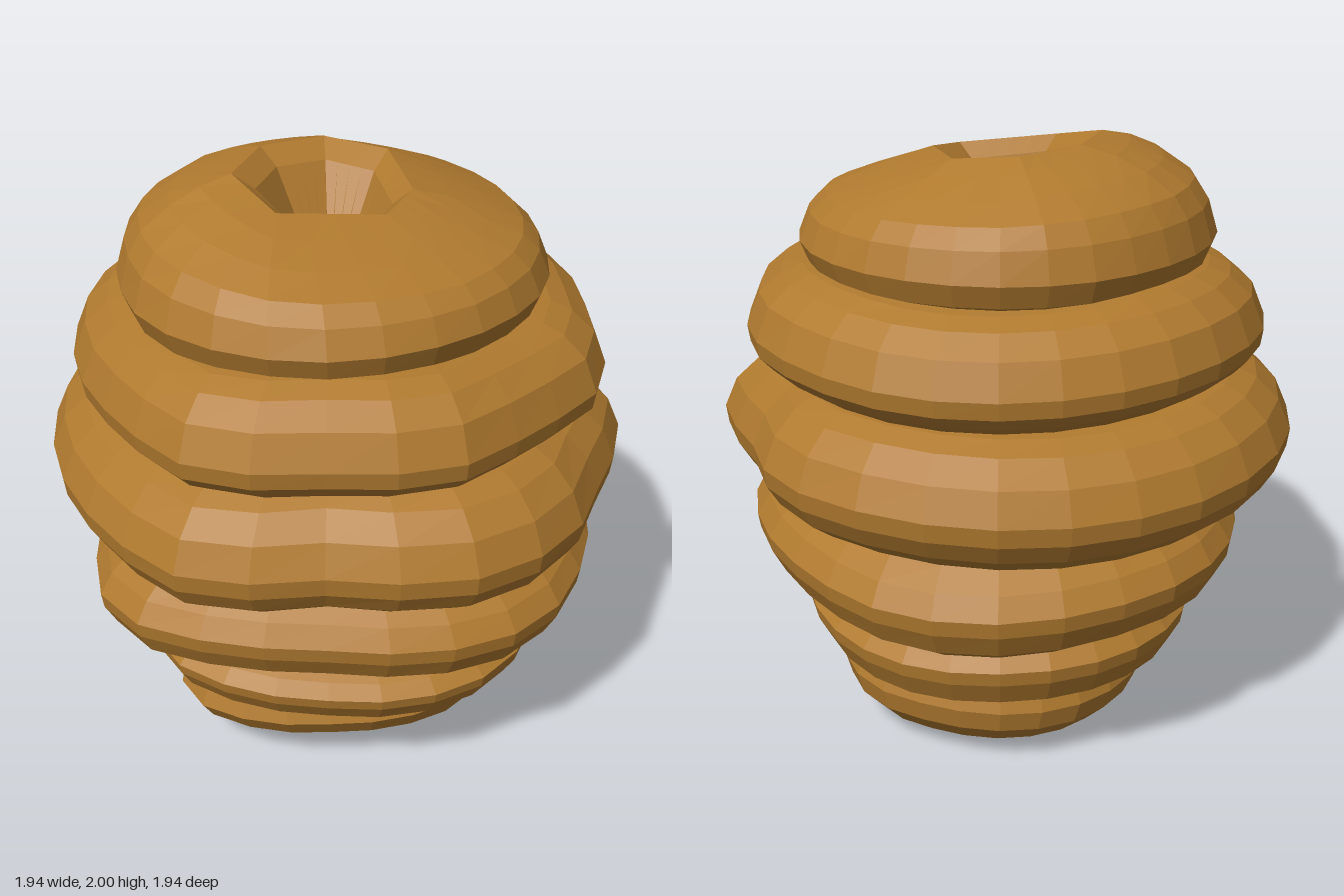
import * as THREE from 'three';

const SEGMENTS = 28;
const lerp = THREE.MathUtils.lerp;

// Lumpy outlines: radius every 22.5 degrees, from +x round through +z
const outlines = [
  [.59, .62, .66, .65, .64, .68, .70, .58, .53, .54, .58, .61, .62, .62, .64, .61],
  [.715, .76, .81, .80, .77, .79, .79, .68, .655, .68, .71, .73, .73, .73, .72, .71],
  [.88, .91, .95, .91, .86, .91, .97, .87, .805, .83, .87, .89, .91, .90, .86, .86],
  [.97, .94, 1.02, 1.03, .95, 1.03, .98, .965, .97, .975, .975, .965, .965, .965, .96, .89],
  [.86, .91, .88, .94, .92, .97, .89, .87, .87, .86, .85, .84, .84, .85, .85, .86],
  [.68, .70, .71, .73, .76, .77, .76, .72, .70, .67, .65, .65, .65, .65, .66, .67],
];

// Smooth periodic interpolation of an outline
function radiusAt(outline, angle) {
  const n = outline.length;
  const u = (angle / (Math.PI * 2)) * n;
  const i = Math.floor(u), t = u - i;
  const [a, b, c, d] = [-1, 0, 1, 2].map(k => outline[(i + k + n) % n]);
  return b + 0.5 * t * (c - a + t * (2 * a - 5 * b + 4 * c - d + t * (3 * (b - c) + d - a)));
}

// Skins a stack of closed loops; pointAt(row, angle, segment) gives [x, y, z]
function loft(rowCount, pointAt) {
  const positions = [], index = [];
  for (let r = 0; r < rowCount; r++) {
    for (let s = 0; s < SEGMENTS; s++) {
      positions.push(...pointAt(r, (s / SEGMENTS) * Math.PI * 2, s));
      if (r === rowCount - 1) continue;
      const a = r * SEGMENTS + s, b = r * SEGMENTS + (s + 1) % SEGMENTS;
      index.push(a, a + SEGMENTS, b, b, a + SEGMENTS, b + SEGMENTS);
    }
  }
  const geometry = new THREE.BufferGeometry();
  geometry.setAttribute('position', new THREE.Float32BufferAttribute(positions, 3));
  geometry.setIndex(index);
  geometry.computeVertexNormals();
  return geometry;
}

// Rounded base, bulging lowest towards the back
function baseGeometry() {
  const rows = [[0, 0], [.3, .008], [.6, .035], [.82, .085], [.95, .155], [1, .23], [.97, .285], [.88, .31], [.6, .33]];
  return loft(rows.length, (r, angle) => {
    const [scale, y] = rows[r];
    const radius = radiusAt(outlines[0], angle) * scale;
    const shift = 1 - Math.min(1, y / .2);
    const x = Math.cos(angle) * radius + .025 * shift;
    const z = Math.sin(angle) * radius - .06 * shift;
    return [x, Math.max(0, y + .02 * z + .015 * x), z];
  });
}

// Bulging coil: rows are [inset from the outline, fraction of height]
function coilGeometry(outline, low, high, peak, backDrop, phase) {
  const rows = [[.27, -.07], [.13, 0], [.05, .16], [.008, peak - .16], [0, peak], [.045, .76], [.12, .94], [.19, 1.02], [.3, 1.06]];
  return loft(rows.length, (r, angle) => {
    const [inset, t] = rows[r];
    const radius = radiusAt(outline, angle) - inset;
    const z = Math.sin(angle) * radius;
    const wave = .01 * Math.sin(3 * angle + phase);
    return [Math.cos(angle) * radius, lerp(low, high, t) + wave + backDrop * z * (1 - t), z];
  });
}

// Seven-cornered mouth of the hole
const mouth = [
  [.24, 1.95, .1], [.16, 1.93, .26], [-.17, 1.95, .31], [-.32, 2, .12],
  [-.25, 2, -.13], [-.05, 1.99, -.26], [.16, 1.97, -.2],
].map(p => new THREE.Vector3(...p));

// Domed cap that runs over the mouth and down into the hole
function capGeometry() {
  const sides = [[.25, 1.56], [.08, 1.575], [.03, 1.615], [0, 1.69]];
  const shoulder = [[.08, .33], [.2, .53], [.45, .7], [.72, .86], [1, 1]];
  const hole = [[.76, .05], [.1, .4], [0, .41]];
  const step = SEGMENTS / mouth.length;
  return loft(sides.length + shoulder.length + hole.length, (r, angle, s) => {
    const radius = radiusAt(outlines[5], angle);
    const c = Math.cos(angle), d = Math.sin(angle);
    if (r < sides.length) {
      const [inset, y] = sides[r];
      return [c * (radius - inset), y, d * (radius - inset)];
    }
    const corner = Math.floor(s / step);
    const rim = mouth[corner].clone().lerp(mouth[(corner + 1) % mouth.length], (s % step) / step);
    r -= sides.length;
    if (r < shoulder.length) {
      const [across, rise] = shoulder[r];
      const swell = .03 * Math.max(0, -c) * Math.sin(Math.PI * across);
      return [lerp(c * radius, rim.x, across), lerp(1.69, rim.y, rise) + swell, lerp(d * radius, rim.z, across)];
    }
    const [scale, depth] = hole[r - shoulder.length];
    return [lerp(-.02, rim.x, scale), rim.y - depth, lerp(.1, rim.z, scale)];
  });
}

export function createModel() {
  const group = new THREE.Group();
  group.name = 'beehive';
  const straw = new THREE.MeshStandardMaterial({ color: 0xb07a2f, flatShading: true });
  straw.name = 'straw';

  const add = (name, geometry) => {
    const mesh = new THREE.Mesh(geometry, straw);
    mesh.name = name;
    group.add(mesh);
  };

  add('base', baseGeometry());
  add('lowerCoil', coilGeometry(outlines[1], .285, .56, .6, .05, 1));
  add('lowerMiddleCoil', coilGeometry(outlines[2], .545, .88, .56, .01, 2));
  add('widestCoil', coilGeometry(outlines[3], .875, 1.265, .5, 0, 4));
  add('upperCoil', coilGeometry(outlines[4], 1.255, 1.605, .45, 0, 3));
  add('capWithHole', capGeometry());
  return group;
}
